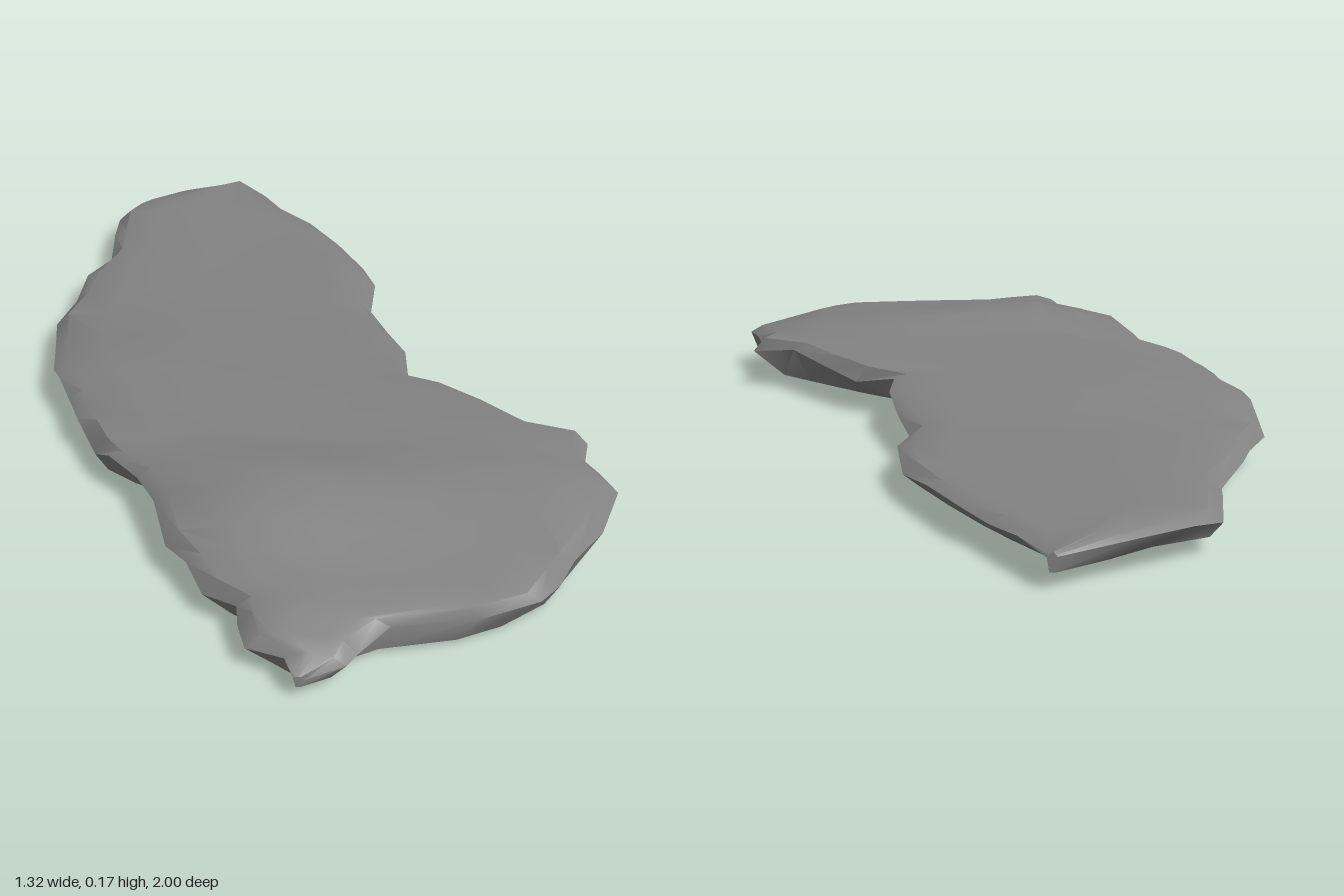
import * as THREE from 'three';
import { toCreasedNormals } from 'three/addons/utils/BufferGeometryUtils.js';

// Plan outline: z, left edge x, right edge x
const OUTLINE = [
  [-1, -0.30, -0.28], [-0.92, -0.44, -0.215], [-0.84, -0.54, -0.15], [-0.77, -0.59, -0.08],
  [-0.66, -0.585, 0.0], [-0.56, -0.58, 0.07], [-0.44, -0.62, 0.105], [-0.33, -0.63, 0.10],
  [-0.22, -0.66, 0.145], [-0.1, -0.64, 0.19], [0.01, -0.625, 0.20], [0.05, -0.605, 0.30],
  [0.12, -0.57, 0.39], [0.21, -0.535, 0.49], [0.24, -0.515, 0.60], [0.31, -0.48, 0.59],
  [0.36, -0.44, 0.62], [0.42, -0.37, 0.655], [0.52, -0.32, 0.62], [0.64, -0.28, 0.555],
  [0.70, -0.23, 0.525], [0.77, -0.19, 0.485], [0.82, -0.115, 0.37], [0.86, -0.11, 0.19],
  [0.92, -0.09, 0.13], [0.96, -0.01, 0.11], [1, 0.01, 0.03],
];

// Heights: z, top at left / crest / right, underside
const HEIGHTS = [
  [-1, 0.075, 0.08, 0.075, 0.04], [-0.9, 0.10, 0.105, 0.09, 0.035], [-0.65, 0.10, 0.105, 0.09, 0.025],
  [-0.3, 0.105, 0.112, 0.10, 0.035], [-0.22, 0.105, 0.118, 0.10, 0.035], [-0.16, 0.11, 0.134, 0.11, 0.035],
  [0, 0.11, 0.14, 0.115, 0.03], [0.25, 0.115, 0.143, 0.13, 0.008], [0.36, 0.115, 0.145, 0.13, 0.02],
  [0.42, 0.125, 0.178, 0.125, 0.028], [0.58, 0.125, 0.178, 0.11, 0.022], [0.72, 0.105, 0.122, 0.11, 0.006],
  [0.8, 0.105, 0.115, 0.10, 0.003], [0.94, 0.09, 0.10, 0.085, 0.02], [1, 0.06, 0.06, 0.06, 0.035],
];

const CREST = 0.25; // crest position across the width
const { lerp, clamp } = THREE.MathUtils;

// Linear lookup of a table row by its first column
function sample(table, z) {
  let i = 0;
  while (i < table.length - 2 && z > table[i + 1][0]) i++;
  const a = table[i], b = table[i + 1];
  const t = clamp((z - a[0]) / (b[0] - a[0]), 0, 1);
  return a.map((v, k) => lerp(v, b[k], t));
}

function seeded(seed) {
  return () => (seed = (seed * 16807) % 2147483647) / 2147483647;
}

// One closed section: left rim, top, right rim, undercut underside
function section([z, left, right], rand) {
  const width = right - left;
  const topInset = Math.min(0.03, width * 0.2);
  const lowInset = () => Math.min(0.02 + 0.07 * rand(), width * 0.25);
  const lowLeft = left + lowInset(), lowRight = right - lowInset();
  // Terraces run slightly askew across the slab
  const at = (x) => sample(HEIGHTS, z + 0.18 * x * (1 - z * z));
  const rim = (x, side) => {
    const h = at(x);
    return [x, lerp(h[4], h[side], 0.5 + 0.4 * rand()), z];
  };
  const ring = [rim(left, 1)];
  for (let k = 0; k <= 8; k++) {
    const u = k / 8, x = lerp(left + topInset, right - topInset, u);
    const h = at(x);
    const y = u < CREST
      ? lerp(h[1], h[2], u / CREST)
      : lerp(h[3], h[2], ((1 - u) / (1 - CREST)) ** 0.9);
    ring.push([x, y, z]);
  }
  ring.push(rim(right, 3));
  for (let k = 0; k <= 4; k++) {
    const u = k / 4, x = lerp(lowRight, lowLeft, u);
    const lift = 0.022 * (2 * u - 1) ** 2 * (1 - z * z);
    ring.push([x, at(x)[4] + lift, z]);
  }
  return ring;
}

function slabGeometry() {
  const rand = seeded(41);
  const rings = OUTLINE.map((row) => section(row, rand));
  const n = rings[0].length, last = (rings.length - 1) * n;
  const index = [];
  for (let i = 0; i < rings.length - 1; i++) {
    for (let j = 0; j < n; j++) {
      const a = i * n + j, b = i * n + (j + 1) % n;
      index.push(a, a + n, b + n, a, b + n, b);
    }
  }
  // Close both tips
  for (let j = 1; j < n - 1; j++) {
    index.push(0, j, j + 1, last, last + j + 1, last + j);
  }
  const geometry = new THREE.BufferGeometry();
  geometry.setAttribute('position', new THREE.Float32BufferAttribute(rings.flat(2), 3));
  geometry.setIndex(index);
  return toCreasedNormals(geometry, 0.7);
}

export function createModel() {
  const group = new THREE.Group();
  group.name = 'flatRock';
  const slab = new THREE.Mesh(slabGeometry(), new THREE.MeshStandardMaterial({ color: 0x838383 }));
  slab.name = 'rockSlab';
  // Rest the underside on the ground
  slab.geometry.computeBoundingBox();
  slab.position.y = -slab.geometry.boundingBox.min.y;
  group.add(slab);
  return group;
}
